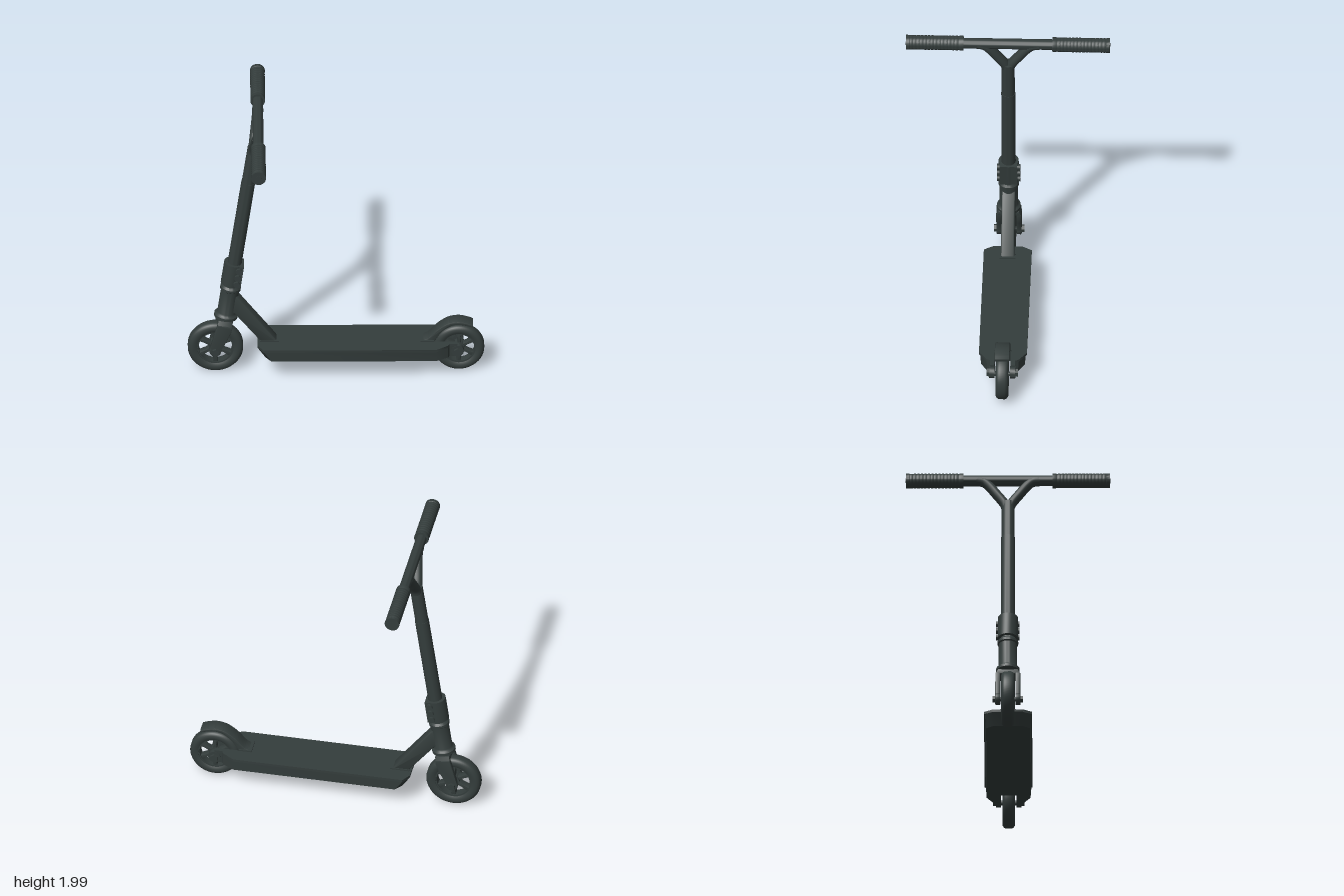
import * as THREE from 'three';
import { toCreasedNormals } from 'three/addons/utils/BufferGeometryUtils.js';

const charcoal = new THREE.MeshStandardMaterial({ color: 0x343d3c });
charcoal.name = 'charcoal';

function add(parent, name, geo, x = 0, y = 0, z = 0) {
  const m = new THREE.Mesh(toCreasedNormals(geo, 0.6), charcoal);
  m.name = name;
  m.position.set(x, y, z);
  parent.add(m);
  return m;
}
const cyl = (r1, r2, h, n = 32) => new THREE.CylinderGeometry(r1, r2, h, n);
const cylZ = (r, h, n = 32) => cyl(r, r, h, n).rotateX(Math.PI / 2);
// Profiles run upwards so that the faces point outwards
const lathe = (pts, n = 48) => new THREE.LatheGeometry(pts.map(p => new THREE.Vector2(...p)), n);
const polygon = pts => new THREE.Shape(pts.map(p => new THREE.Vector2(...p)));

// Flat profile in the x-y plane, thickened evenly about z = 0
function slab(shape, depth, bevel = 0) {
  const d = depth - 2 * bevel;
  return new THREE.ExtrudeGeometry(shape, {
    depth: d, bevelEnabled: bevel > 0, bevelSize: bevel, bevelOffset: -bevel,
    bevelThickness: bevel, bevelSegments: 2, curveSegments: 16,
  }).translate(0, 0, -d / 2);
}

// Spoked wheel lying in the x-y plane
function wheel(name, x, y, r, half) {
  const g = new THREE.Group();
  g.name = name;
  g.position.set(x, y, 0);
  const s = r / 0.185;
  const tyre = [[0.122 * s, -half * 0.8], [0.14 * s, -half], [0.162 * s, -half], [0.177 * s, -half * 0.8],
    [r, -half * 0.45], [r, half * 0.45], [0.177 * s, half * 0.8], [0.162 * s, half], [0.14 * s, half],
    [0.122 * s, half * 0.8], [0.122 * s, -half * 0.8]];
  add(g, 'tyre', lathe(tyre, 64).rotateX(Math.PI / 2));
  const w = half * 0.7;
  add(g, 'rim', lathe([[0.113 * s, -w], [0.124 * s, -w], [0.124 * s, w], [0.113 * s, w], [0.113 * s, -w]], 64)
    .rotateX(Math.PI / 2));
  add(g, 'hub', cylZ(0.043 * s, half * 1.5));
  const spoke = polygon([[0.03, -0.015], [0.07, -0.011], [0.117, -0.017], [0.117, 0.017], [0.07, 0.011], [0.03, 0.015]]
    .map(p => [p[0] * s, p[1] * s]));
  for (let i = 0; i < 6; i++) {
    add(g, 'spoke', slab(spoke, half * 1.1, 0.004)).rotation.z = Math.PI / 6 + i * Math.PI / 3;
  }
  return g;
}

// Deck outline seen from above, with a slot for the rear wheel
function deckOutline(k) {
  const side = [[-0.53, 0.1], [-0.49, k], [0.675, k], [0.755, 0.108], [0.765, 0.085], [0.82, 0.085],
    [0.82, 0.055], [0.64, 0.055]];
  return polygon([...side, ...side.map(([x, z]) => [x, -z]).reverse()]);
}

function buildDeck() {
  const g = new THREE.Group();
  g.name = 'deck';
  const lay = (k, depth) => new THREE.ExtrudeGeometry(deckOutline(k), { depth, bevelEnabled: false })
    .rotateX(Math.PI / 2);
  add(g, 'deckTop', lay(0.162, 0.018), 0, 0.248, 0);
  // Lower body tapers in towards the underside
  const body = lay(0.154, 0.08);
  const p = body.attributes.position;
  for (let i = 0; i < p.count; i++) {
    if (p.getY(i) > -0.01) continue;
    p.setZ(i, p.getZ(i) * 0.96);
    if (p.getX(i) < -0.4) p.setX(i, p.getX(i) + 0.055);
  }
  body.computeVertexNormals();
  add(g, 'deckBody', body, 0, 0.231, 0);
  for (const s of [1, -1]) {
    add(g, 'rearDropout', cylZ(0.042, 0.035), 0.82, 0.192, s * 0.07);
    add(g, 'rearAxleNut', cylZ(0.03, 0.02, 6), 0.82, 0.188, s * 0.095);
  }
  add(g, 'rearAxle', cylZ(0.016, 0.18), 0.825, 0.182, 0);

  // Curved brake fender over the rear wheel
  const upper = [[0.57, 0.25], [0.62, 0.272], [0.68, 0.335], [0.75, 0.384], [0.82, 0.4], [0.88, 0.39], [0.925, 0.373]];
  const lower = [[0.92, 0.353], [0.87, 0.367], [0.81, 0.373], [0.755, 0.352], [0.71, 0.313], [0.67, 0.255], [0.66, 0.24]];
  const fender = polygon([[0.57, 0.24]]);
  fender.lineTo(...upper[0]);
  fender.splineThru(upper.slice(1).map(q => new THREE.Vector2(...q)));
  fender.lineTo(...lower[0]);
  fender.splineThru(lower.slice(1).map(q => new THREE.Vector2(...q)));
  add(g, 'rearFender', slab(fender, 0.1, 0.008));
  add(g, 'fenderBase', new THREE.BoxGeometry(0.09, 0.014, 0.118), 0.615, 0.25, 0);

  // Neck brace joining deck and head tube
  add(g, 'neck', slab(polygon([[-0.7, 0.62], [-0.665, 0.6], [-0.405, 0.262], [-0.395, 0.24], [-0.505, 0.24],
    [-0.685, 0.465], [-0.72, 0.48]]), 0.092, 0.012));
  add(g, 'neckBase', new THREE.BoxGeometry(0.13, 0.014, 0.11), -0.45, 0.25, 0);
  return g;
}

// Steering column: origin at the handlebar, local -y runs down the raked axis
function buildSteering() {
  const g = new THREE.Group();
  g.name = 'steering';
  g.position.set(-0.527, 1.95, 0);
  g.rotation.z = -0.142;

  add(g, 'crossbar', cylZ(0.036, 1.3));
  const grip = [[0, 0], [0.05, 0], [0.05, 0.025], [0.0475, 0.03]];
  for (let i = 0; i < 14; i++) {
    const y = 0.035 + i * 0.0235;
    grip.push([0.0475, y], [0.0495, y + 0.004], [0.0495, y + 0.017], [0.0475, y + 0.021]);
  }
  grip.push([0.05, 0.365], [0.05, 0.388], [0, 0.388]);
  for (const s of [1, -1]) {
    add(g, 'grip', lathe(grip, 32).rotateX(s * Math.PI / 2), 0, 0, s * 0.3);
    add(g, 'barEnd', cylZ(0.018, 0.006), 0, 0, s * 0.687);
    // Brace rises almost straight, then eases into the bar
    const curve = new THREE.CatmullRomCurve3([[-0.24, 0.008], [-0.19, 0.022], [-0.11, 0.077], [-0.04, 0.13],
      [-0.01, 0.165], [-0.003, 0.21]].map(([y, z]) => new THREE.Vector3(0, y, s * z)));
    add(g, 'barBrace', new THREE.TubeGeometry(curve, 24, 0.033, 16).scale(1.15, 1, 1));
  }
  add(g, 'downTube', cyl(0.044, 0.046, 0.98), 0, -0.67, 0);
  add(g, 'tubeSleeve', cyl(0.0475, 0.048, 0.7), 0, -0.81, 0);

  // Bolted clamp
  add(g, 'clamp', cyl(0.068, 0.068, 0.165), -0.004, -1.19, 0);
  for (const s of [1, -1]) {
    add(g, 'clampJaw', new THREE.BoxGeometry(0.065, 0.165, 0.05), 0.03, -1.19, s * 0.034);
    for (const y of [-1.138, -1.19, -1.242]) {
      add(g, 'clampBolt', cylZ(0.021, 0.024, 16), 0.03, y, s * 0.067);
    }
  }
  // Head tube with bearing cups
  add(g, 'headset', lathe([[0, -1.552], [0.06, -1.552], [0.08, -1.54], [0.08, -1.52], [0.068, -1.512],
    [0.062, -1.5], [0.062, -1.325], [0.07, -1.318], [0.07, -1.3], [0.058, -1.285], [0.045, -1.29]]));
  add(g, 'steererTube', cyl(0.05, 0.05, 0.08), 0, -1.28, 0);

  // Fork
  const crown = polygon([[-0.085, -0.022], [0.085, -0.022], [0.068, 0.016], [-0.068, 0.016]]);
  add(g, 'forkCrown', slab(crown, 0.1, 0.006).rotateY(Math.PI / 2), 0, -1.562, 0);
  const leg = polygon([[-0.05, -1.575], [-0.058, -1.63], [-0.074, -1.76]]);
  leg.absarc(-0.036, -1.783, 0.04, Math.PI * 0.85, Math.PI * 2.1, false);
  leg.lineTo(0.04, -1.66);
  leg.lineTo(0.052, -1.6);
  leg.lineTo(0.05, -1.575);
  for (const s of [1, -1]) {
    add(g, 'forkLeg', slab(leg, 0.034, 0.006), 0, 0, s * 0.068);
    add(g, 'frontAxleNut', cylZ(0.026, 0.025, 6), -0.036, -1.783, s * 0.09);
  }
  add(g, 'frontAxle', cylZ(0.016, 0.17), -0.036, -1.783, 0);
  return g;
}

export function createModel() {
  const model = new THREE.Group();
  model.name = 'kickScooter';
  model.add(buildDeck(), buildSteering());
  model.add(wheel('frontWheel', -0.814, 0.193, 0.187, 0.045));
  model.add(wheel('rearWheel', 0.829, 0.182, 0.171, 0.042));
  return model;
}
